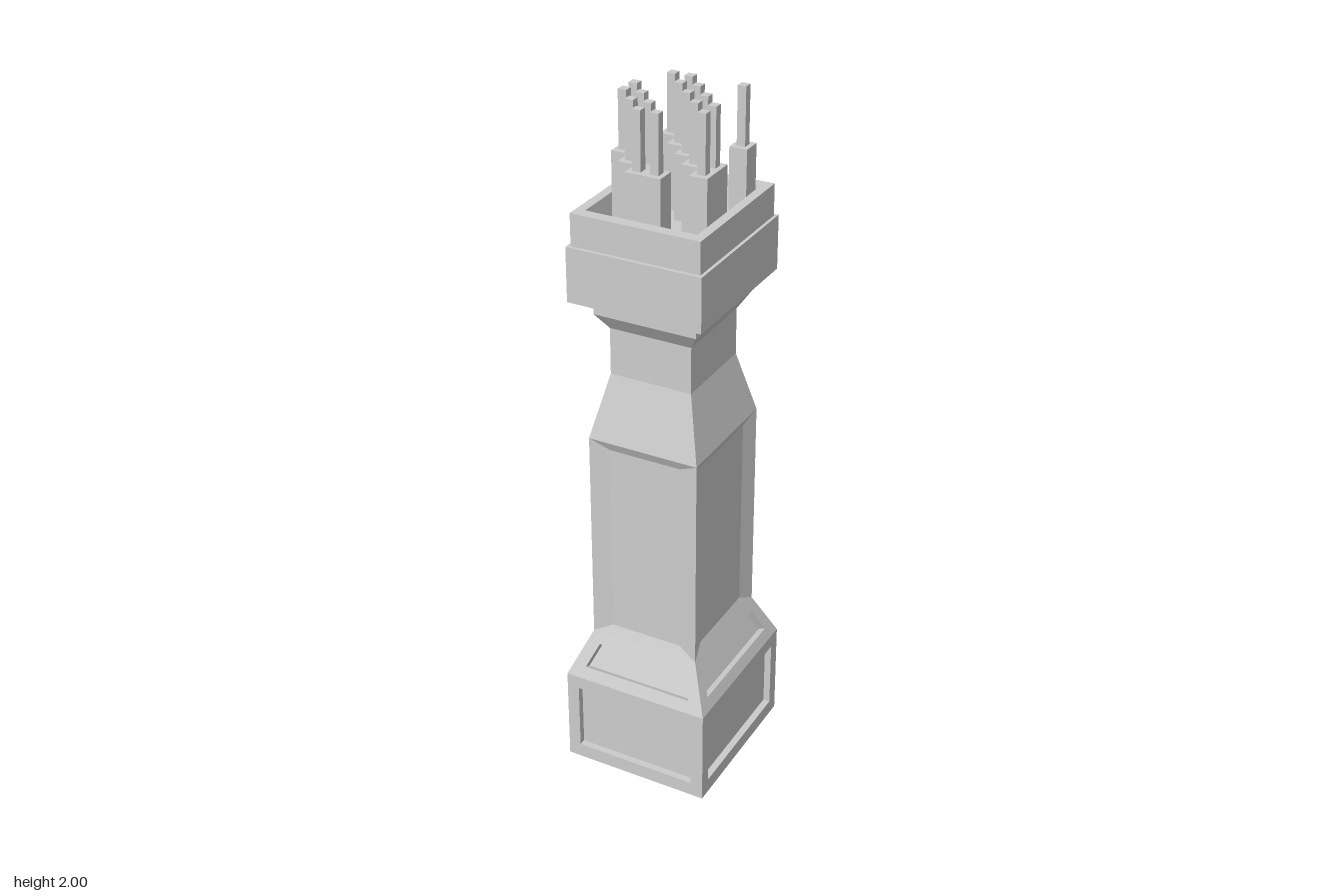
import * as THREE from 'three';

const material = new THREE.MeshStandardMaterial({ color: 0xcccccc, flatShading: true });

// Collects quads (corners counter-clockwise from outside) into a flat-shaded mesh
class Faces {
  constructor() { this.points = []; }
  quad(a, b, c, d) { this.points.push(a, b, c, a, c, d); }
  // Band of quads joining two four-cornered loops
  ring(a, b) {
    for (let i = 0; i < 4; i++) {
      const j = (i + 1) % 4;
      this.quad(a[i], a[j], b[j], b[i]);
    }
  }
  mesh(name) {
    const geometry = new THREE.BufferGeometry().setFromPoints(this.points);
    geometry.computeVertexNormals();
    const mesh = new THREE.Mesh(geometry, material);
    mesh.name = name;
    return mesh;
  }
}

// Horizontal rectangle at height y
const loop = ([y, hx, hz]) =>
  [[-1, 1], [1, 1], [1, -1], [-1, -1]].map(([x, z]) => new THREE.Vector3(x * hx, y, z * hz));

// Stack of rectangular sections closed at both ends
function stack(name, levels) {
  const f = new Faces();
  const loops = levels.map(loop);
  for (let i = 0; i + 1 < loops.length; i++) f.ring(loops[i], loops[i + 1]);
  const [a, b, c, d] = loops[0];
  f.quad(d, c, b, a);
  f.quad(...loops[loops.length - 1]);
  return f.mesh(name);
}

// Four sides between two levels, each with a sunken panel.
// [y0, y1] is the panel height, margin its side border, depth how far it sinks;
// bevelled panels slope directly from the outer edge.
function panelledSides(name, low, high, { y0, y1, margin, depth, bevelled = false }) {
  const f = new Faces();
  for (let k = 0; k < 4; k++) {
    const turn = new THREE.Vector3(0, 1, 0);
    const at = (u, y) => {
      const t = (y - low[0]) / (high[0] - low[0]);
      const hx = THREE.MathUtils.lerp(low[1], high[1], t);
      const hz = THREE.MathUtils.lerp(low[2], high[2], t);
      const [w, d] = k % 2 ? [hz, hx] : [hx, hz];
      const inset = y === low[0] || y === high[0] ? 0 : margin;
      return new THREE.Vector3(u * (w - inset), y, d).applyAxisAngle(turn, k * Math.PI / 2);
    };
    const rect = (a, b) => [at(-1, a), at(1, a), at(1, b), at(-1, b)];
    const outer = rect(low[0], high[0]);
    const edge = rect(y0, y1);
    const normal = outer[1].clone().sub(outer[0]).cross(outer[3].clone().sub(outer[0])).normalize();
    const floor = edge.map(p => p.clone().addScaledVector(normal, -depth));
    if (bevelled) f.ring(outer, floor);
    else {
      f.ring(outer, edge);
      f.ring(edge, floor);
    }
    f.quad(...floor);
  }
  return f.mesh(name);
}

function box(name, w, h, d, x, y, z) {
  const mesh = new THREE.Mesh(new THREE.BoxGeometry(w, h, d), material);
  mesh.position.set(x, y + h / 2, z);
  mesh.name = name;
  return mesh;
}

export function createModel() {
  const tower = new THREE.Group();
  tower.name = 'tower';

  // Plinth, its sloped shoulder and the shaft
  const foot = [0, 0.22, 0.24], shoulder = [0.29, 0.22, 0.24];
  const shaftLow = [0.425, 0.163, 0.179], shaftHigh = [1.06, 0.163, 0.179];
  tower.add(
    panelledSides('plinth', foot, shoulder, { y0: 0.043, y1: 0.25, margin: 0.037, depth: 0.02 }),
    panelledSides('shoulder', shoulder, shaftLow, { y0: 0.323, y1: 0.393, margin: 0.04, depth: 0.022 }),
    panelledSides('shaft', shaftLow, shaftHigh,
      { y0: 0.455, y1: 1.032, margin: 0.057, depth: 0.013, bevelled: true }),
  );
  const underside = new Faces();
  underside.quad(...loop(foot).reverse());
  tower.add(underside.mesh('underside'));

  // Tapered neck flaring out under the head
  tower.add(stack('neck', [
    shaftHigh, [1.245, 0.12, 0.13], [1.38, 0.12, 0.13],
    [1.427, 0.15, 0.162], [1.48, 0.15, 0.162],
  ]));

  // Head block with an open tray on top
  const head = new THREE.Group();
  head.name = 'head';
  head.position.set(-0.001, 0, -0.002);
  head.add(stack('headBlock', [[1.475, 0.194, 0.219], [1.63, 0.194, 0.219]]));
  head.add(stack('tray', [
    [1.63, 0.185, 0.208], [1.72, 0.185, 0.208], [1.72, 0.159, 0.175], [1.66, 0.151, 0.164],
  ]));
  tower.add(head);

  // Blocks with rods, laid out on a six by six grid from back to front
  const layout = ['.XX..X', '..XX..', 'X..XX.', 'XX..XX', '.XX..X', '..XX..'];
  const cellX = 0.302 / 6, cellZ = 0.328 / 6;
  layout.forEach((row, r) => [...row].forEach((cell, c) => {
    if (cell !== 'X') return;
    const x = (c - 2.5) * cellX, z = (r - 2.5) * cellZ;
    head.add(box('block', cellX, 0.18, cellZ, x, 1.66, z));
    head.add(box('rod', 0.024, 0.16, 0.024, x, 1.84, z));
  }));

  return tower;
}
